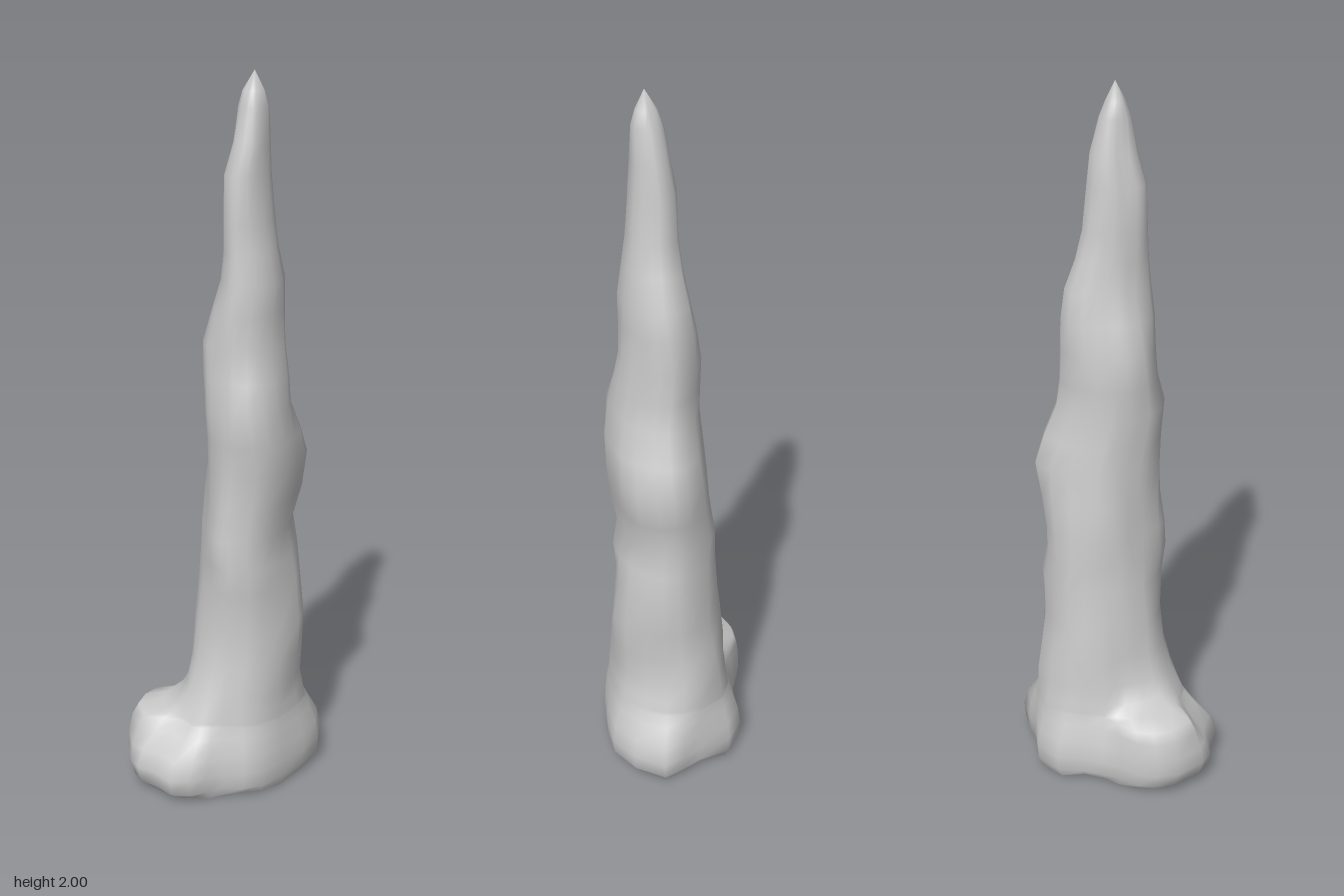
import * as THREE from 'three';

// Outline of the spreading foot as [x, z], clockwise seen from above
const FOOT = [
  [-0.252, 0.12], [-0.254, 0.06], [-0.235, 0.01], [-0.19, -0.04], [-0.165, -0.08], [-0.135, -0.14],
  [-0.115, -0.21], [-0.05, -0.26], [0.045, -0.255], [0.1, -0.268], [0.17, -0.275], [0.23, -0.2],
  [0.253, -0.11], [0.235, -0.03], [0.2, 0.06], [0.165, 0.13], [0.12, 0.165], [0.06, 0.185],
  [0.03, 0.22], [-0.01, 0.255], [-0.06, 0.272], [-0.12, 0.24], [-0.175, 0.23], [-0.21, 0.2],
];
const N = FOOT.length;
const KNOB = { 0: 1, 1: 1, 2: 1, 3: 0.6, 22: 0.35, 23: 0.85 };

// Column levels: y, xMin, xMax, zMin, zMax
const LEVELS = [
  [0.30, -0.115, 0.2, -0.23, 0.145], [0.38, -0.102, 0.2, -0.225, 0.13],
  [0.48, -0.09, 0.2, -0.22, 0.12], [0.6, -0.08, 0.195, -0.22, 0.112],
  [0.68, -0.075, 0.19, -0.208, 0.12], [0.76, -0.07, 0.17, -0.215, 0.12],
  [0.85, -0.06, 0.19, -0.222, 0.115], [0.95, -0.053, 0.205, -0.225, 0.115],
  [1.03, -0.05, 0.2, -0.195, 0.122], [1.12, -0.045, 0.178, -0.165, 0.135],
  [1.2, -0.048, 0.168, -0.158, 0.115], [1.29, -0.05, 0.157, -0.155, 0.1],
  [1.38, -0.03, 0.155, -0.152, 0.092], [1.46, -0.01, 0.153, -0.142, 0.085],
  [1.54, 0, 0.138, -0.115, 0.08], [1.62, 0.003, 0.128, -0.095, 0.075],
  [1.74, 0.005, 0.12, -0.08, 0.07], [1.82, 0.025, 0.117, -0.072, 0.05],
  [1.91, 0.038, 0.115, -0.048, 0.035], [1.95, 0.05, 0.105, -0.03, 0.02],
];

// Foot levels: y, blend towards the foot outline, the same blend on the knob, scale
const FOOT_LEVELS = [
  [0.01, 0.8, 0.8, 0.97], [0.035, 0.95, 0.93, 1], [0.08, 1, 1, 1], [0.13, 0.86, 0.98, 1],
  [0.18, 0.5, 0.92, 1], [0.212, 0.3, 0.82, 1], [0.222, 0.27, 0.42, 1], [0.25, 0.17, 0.16, 1],
];

// Point of a lumpy oval ring in the direction of foot point i
function columnPoint([y, x0, x1, z0, z1], i) {
  const cx = (x0 + x1) / 2, cz = (z0 + z1) / 2;
  const a = Math.atan2(FOOT[i][1] + 0.04, FOOT[i][0] - 0.05);
  const c = Math.cos(a), s = Math.sin(a);
  const r = 1 / Math.hypot(c * 2 / (x1 - x0), s * 2 / (z1 - z0));
  const lump = 1.01 + 0.03 * Math.sin(3 * a + 5 * y) + 0.03 * Math.sin(5 * a - 9 * y)
    + 0.025 * Math.sin(2 * a + 17 * y);
  return [cx + c * r * lump, y, cz + s * r * lump];
}

function footPoint([y, blend, knobBlend, scale], i) {
  const k = KNOB[i] ?? 0;
  const w = blend + (knobBlend - blend) * k;
  const p = columnPoint(LEVELS[0], i);
  const wobble = y < 0.02 ? 0.008 * Math.sin(i * 1.7) : 0;
  return [
    (p[0] + (FOOT[i][0] - p[0]) * w) * scale,
    y + wobble,
    (p[2] + (FOOT[i][1] - p[2]) * w) * scale,
  ];
}

function makeMesh(name, points, index, material) {
  const geometry = new THREE.BufferGeometry();
  geometry.setAttribute('position', new THREE.Float32BufferAttribute(points.flat(), 3));
  geometry.setIndex(index);
  geometry.computeVertexNormals();
  const mesh = new THREE.Mesh(geometry, material);
  mesh.name = name;
  return mesh;
}

export function createModel() {
  const group = new THREE.Group();
  group.name = 'stalagmite';
  const material = new THREE.MeshStandardMaterial({ color: 0xcccccc, roughness: 0.9 });

  // Stack the foot and column rings
  const rings = [
    ...FOOT_LEVELS.map((l) => FOOT.map((_, i) => footPoint(l, i))),
    ...LEVELS.map((l) => FOOT.map((_, i) => columnPoint(l, i))),
  ];

  // Rock skin, closed by a pointed tip
  const points = rings.flat();
  const tip = points.push([0.08, 2, -0.005]) - 1;
  const index = [];
  for (let j = 0; j < rings.length; j++) {
    for (let i = 0; i < N; i++) {
      const a = j * N + i, b = j * N + (i + 1) % N;
      if (j === rings.length - 1) index.push(a, tip, b);
      else index.push(a, a + N, b, b, a + N, b + N);
    }
  }
  group.add(makeMesh('rockColumn', points, index, material));

  // Underside
  const base = [...rings[0], [0.02, 0.005, -0.01]];
  const baseIndex = [];
  for (let i = 0; i < N; i++) baseIndex.push(N, i, (i + 1) % N);
  group.add(makeMesh('underside', base, baseIndex, material));

  return group;
}
